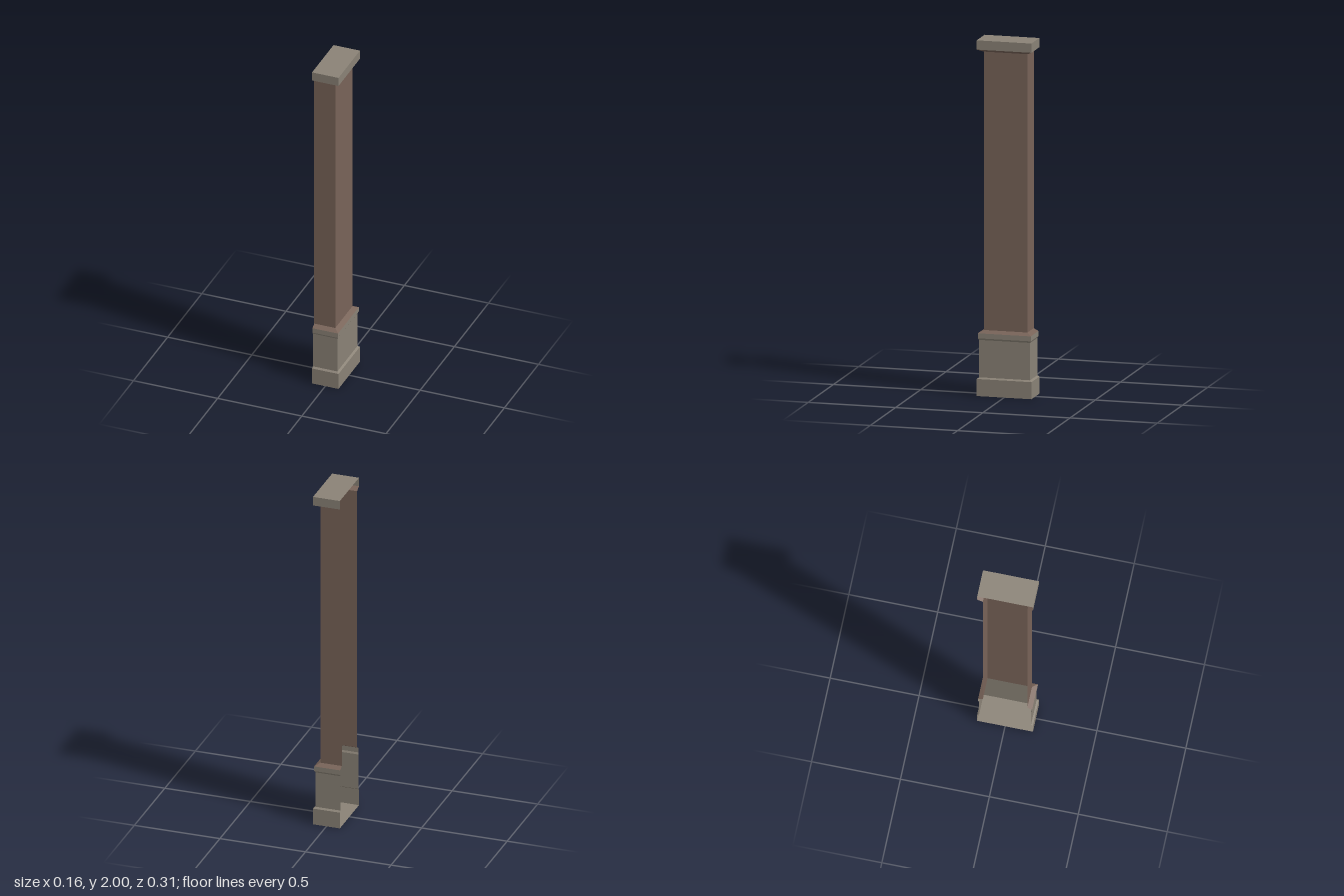
import * as THREE from 'three';

const BACK = -0.0785; // the flat, open side of the half pillar

// Three-sided outline at half-width d and height y
const outline = (d, y) => [
  [BACK, y, d], [BACK + d, y, d], [BACK + d, y, -d], [BACK, y, -d],
];

function quadMesh(name, quads, material) {
  const pos = [];
  for (const [a, b, c, d] of quads) pos.push(...a, ...b, ...c, ...a, ...c, ...d);
  const geo = new THREE.BufferGeometry();
  geo.setAttribute('position', new THREE.Float32BufferAttribute(pos, 3));
  geo.computeVertexNormals();
  const mesh = new THREE.Mesh(geo, material);
  mesh.name = name;
  return mesh;
}

// Open-backed wall through a list of [half-width, height] levels, bottom to top
function wall(name, levels, material) {
  const quads = [];
  for (let i = 0; i < levels.length - 1; i++) {
    const lo = outline(...levels[i]), hi = outline(...levels[i + 1]);
    for (let k = 0; k < 3; k++) quads.push([lo[k], lo[k + 1], hi[k + 1], hi[k]]);
  }
  return quadMesh(name, quads, material);
}

export function createModel() {
  const stone = new THREE.MeshStandardMaterial({ color: 0x8a8276, side: THREE.DoubleSide });
  stone.name = 'grey stone';
  const brick = new THREE.MeshStandardMaterial({ color: 0x786358, side: THREE.DoubleSide });
  brick.name = 'brown plaster';

  const W = 0.157, BODY = 0.146, BAND = 0.152, SHAFT = 0.125;
  const group = new THREE.Group();
  group.name = 'pillar';
  group.add(
    // Base: plinth, pedestal and its moulding
    wall('plinth', [[W, 0], [W, 0.096], [BODY, 0.104]], stone),
    wall('pedestal', [[BODY, 0.104], [BODY, 0.314]], stone),
    wall('pedestalMoulding', [[BODY, 0.314], [BAND, 0.324], [BAND, 0.352]], stone),
    // Shaft with flared ends
    wall('shaft', [[BAND, 0.352], [SHAFT, 0.367], [SHAFT, 1.932], [W, 1.948]], brick),
    // Capital
    wall('capital', [[W, 1.948], [W, 2]], stone),
    // Closed ends
    quadMesh('topSlab', [outline(W, 2)], stone),
    quadMesh('bottomSlab', [outline(W, 0).reverse()], stone),
  );
  return group;
}
